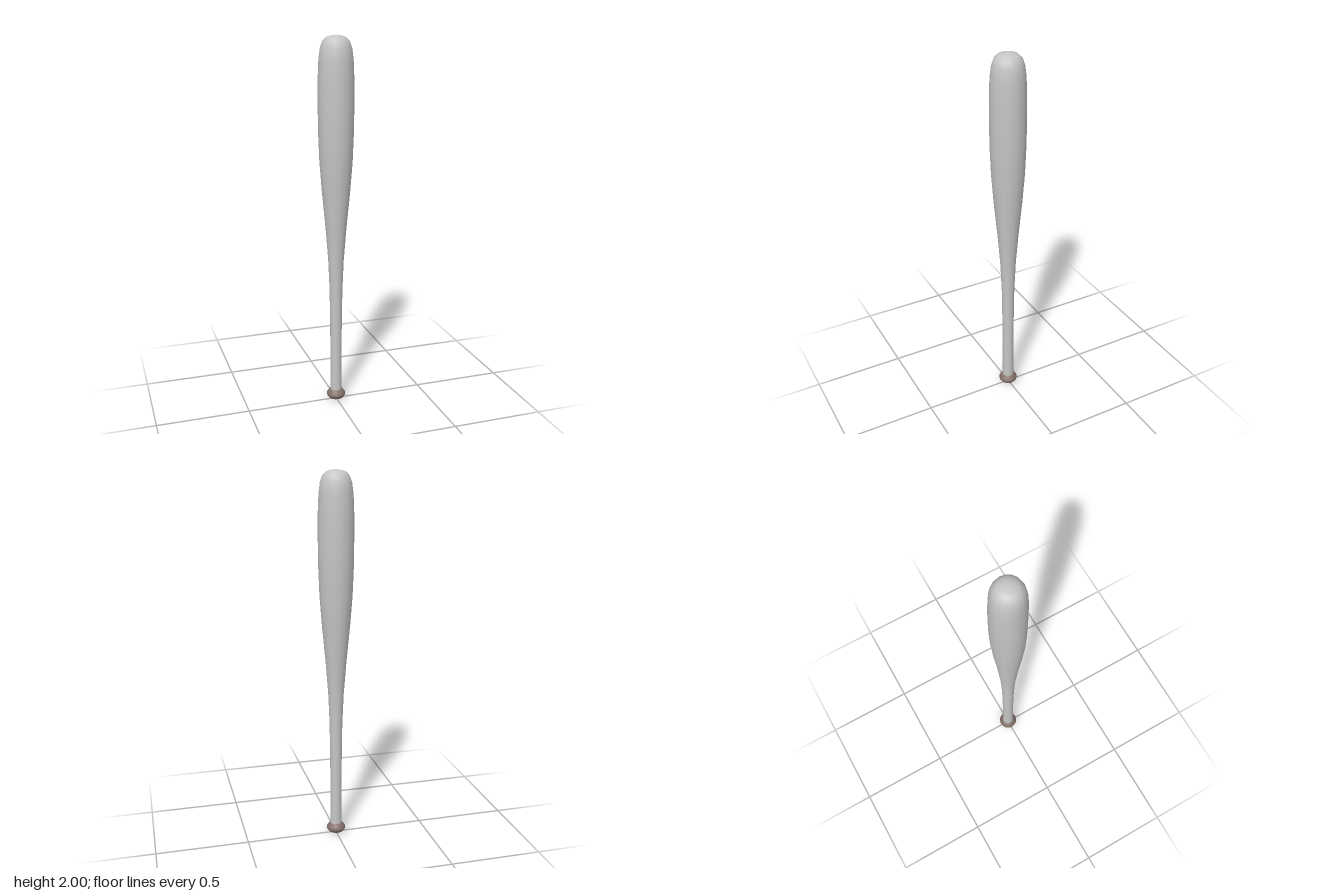
import * as THREE from 'three';

const SIDES = 16;

// Turned part from [radius, height] pairs, listed bottom to top
function turned(name, profile, material) {
  const points = profile.map(([r, y]) => new THREE.Vector2(r, y));
  const mesh = new THREE.Mesh(new THREE.LatheGeometry(points, SIDES), material);
  mesh.name = name;
  return mesh;
}

export function createModel() {
  const metal = new THREE.MeshStandardMaterial({ color: 0xc6c6c6 });
  metal.name = 'pale grey metal';
  const grip = new THREE.MeshStandardMaterial({ color: 0x84706a });
  grip.name = 'brown knob';

  const bat = new THREE.Group();
  bat.name = 'bat';

  // Slim handle flowing into the barrel and its rounded end
  bat.add(turned('handleAndBarrel', [
    [0.032, 0.05], [0.031, 0.2], [0.032, 0.42], [0.035, 0.65], [0.042, 0.82],
    [0.056, 1.0], [0.075, 1.2], [0.087, 1.36], [0.093, 1.52], [0.094, 1.65],
    [0.093, 1.79], [0.089, 1.88], [0.082, 1.935], [0.07, 1.97],
    [0.05, 1.99], [0.025, 1.998], [0, 2.0],
  ], metal));

  // Flared knob under the handle
  bat.add(turned('knob', [
    [0, 0], [0.022, 0.003], [0.04, 0.01], [0.05, 0.022], [0.052, 0.034],
    [0.045, 0.045], [0.036, 0.057], [0.031, 0.06],
  ], grip));

  return bat;
}
